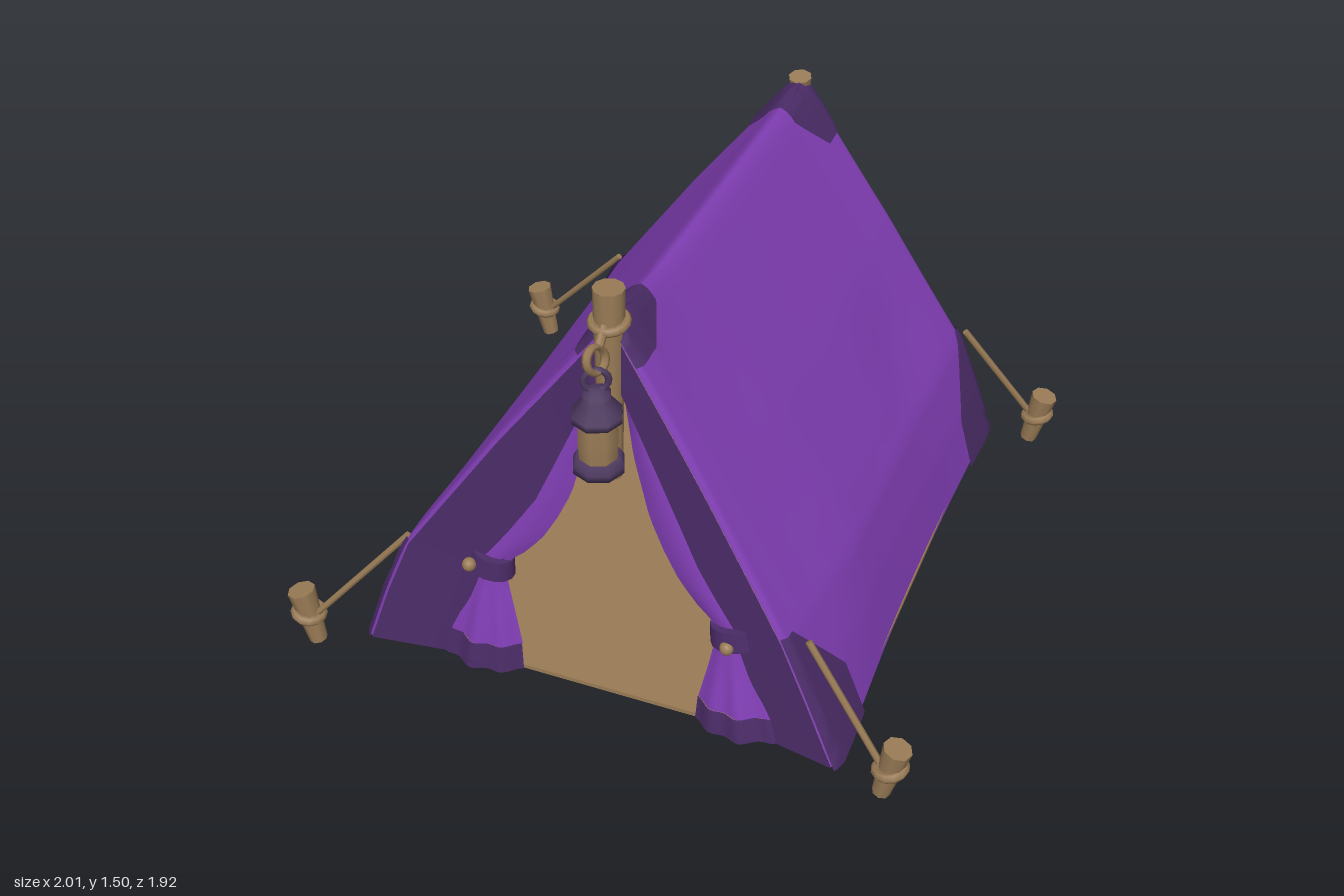
import * as THREE from 'three';

const mat = (name, color, extra = {}) => {
  const m = new THREE.MeshStandardMaterial({ color, ...extra });
  m.name = name;
  return m;
};

// Piecewise linear lookup in a list of [key, value] with rising keys
function look(table, k) {
  if (k <= table[0][0]) return table[0][1];
  for (let i = 1; i < table.length; i++) {
    const [a, va] = table[i - 1], [b, vb] = table[i];
    if (k <= b) return va + (vb - va) * (k - a) / (b - a);
  }
  return table[table.length - 1][1];
}

// Surface from a rule fn(u, v) -> [x, y, z]
function grid(nu, nv, fn) {
  const pos = [], idx = [];
  for (let j = 0; j <= nv; j++)
    for (let i = 0; i <= nu; i++) pos.push(...fn(i / nu, j / nv));
  for (let j = 0; j < nv; j++)
    for (let i = 0; i < nu; i++) {
      const a = j * (nu + 1) + i, b = a + 1, c = a + nu + 1, d = c + 1;
      idx.push(a, c, b, b, c, d);
    }
  const g = new THREE.BufferGeometry();
  g.setAttribute('position', new THREE.Float32BufferAttribute(pos, 3));
  g.setIndex(idx);
  g.computeVertexNormals();
  return g;
}

// Filled polygon, subdivided towards its centre and bent by map(a, b)
function patchGeometry(poly, map) {
  const n = poly.length;
  const ca = poly.reduce((s, p) => s + p[0], 0) / n, cb = poly.reduce((s, p) => s + p[1], 0) / n;
  return grid(n * 8, 8, (u, v) => {
    const k = Math.round(u * n * 8), i = Math.floor(k / 8), f = (k % 8) / 8;
    const p = poly[i % n], q = poly[(i + 1) % n];
    const a = p[0] + (q[0] - p[0]) * f, b = p[1] + (q[1] - p[1]) * f;
    return map(a + (ca - a) * v, b + (cb - b) * v);
  });
}

// Tent shape: t runs from hem (0) to ridge (1)
const RIDGE_X = 0.072, HEM = 0.05, ROLL = 0.018;
const RIDGE = [[-0.8, 1.335], [-0.6, 1.325], [0, 1.345], [0.45, 1.365], [0.7, 1.4], [0.8, 1.385]];
const SPREAD = [[0, 1], [0.15, 0.92], [0.3, 0.825], [0.4, 0.715], [0.64, 0.45], [0.94, 0.09], [0.98, 0.04], [1, 0]];
const ridgeY = z => look(RIDGE, z);
const endZ = (t, e = 1) => e > 0 ? 0.775 + 0.09 * (1 - t) ** 1.4 : -0.792 - 0.078 * (1 - t) ** 2;
const toT = (y, z) => (y - HEM) / (ridgeY(z) - HEM);
const toY = (t, z) => HEM + t * (ridgeY(z) - HEM);
function sideX(s, t, z) {
  const width = s < 0 ? 0.82 : 0.71;
  // hem pulled out only at the corners
  let f = look(SPREAD, t) - 0.025 * Math.max(0, 1 - t / 0.4) * Math.max(0, 1 - (z / 0.8) ** 2);
  if (s > 0) {
    // right slope: pulled in at the doorway, dented towards the back
    const front = THREE.MathUtils.smoothstep(z, 0.3, 0.85);
    f += (1 - t - f) * front * 0.6;
    f -= 0.022 * Math.exp(-(((z + 0.44) / 0.2) ** 2) - (((t - 0.43) / 0.13) ** 2));
  }
  // rounded end edges
  const d = Math.max(0, ROLL - Math.max(0, Math.abs(endZ(t, z)) - Math.abs(z)));
  const inset = ROLL - Math.sqrt(ROLL * ROLL - d * d);
  return RIDGE_X + s * Math.max(0, width * f - inset);
}

export function createModel() {
  const model = new THREE.Group();
  model.name = 'tent';
  const cloth = mat('purple cloth', 0x813eb5, { side: THREE.DoubleSide });
  const dark = mat('dark purple trim', 0x4b2c68, { side: THREE.DoubleSide });
  const metal = mat('dull purple metal', 0x4c385e);
  const wood = mat('tan wood and rope', 0x997b56);

  const add = (name, geo, material, x = 0, y = 0, z = 0, parent = model) => {
    const m = new THREE.Mesh(geo, material);
    m.name = name;
    m.position.set(x, y, z);
    parent.add(m);
    return m;
  };
  const rod = (name, a, b, rTop, rBottom, material, sides = 8) => {
    const top = new THREE.Vector3(...a), bottom = new THREE.Vector3(...b);
    const dir = top.clone().sub(bottom);
    const m = add(name, new THREE.CylinderGeometry(rTop, rBottom, dir.length(), sides), material);
    m.position.copy(top).add(bottom).multiplyScalar(0.5);
    m.quaternion.setFromUnitVectors(new THREE.Vector3(0, 1, 0), dir.normalize());
  };

  // Roof slopes with rows crowded towards the rounded ends, back wall and floor
  add('roof', grid(80, 48, (u, v) => {
    const t = 1 - Math.abs(2 * u - 1), k = Math.sin((v - 0.5) * Math.PI);
    const z = Math.abs(k) * endZ(t, k);
    return [sideX(u < 0.5 ? -1 : 1, t, z), toY(t, z), z];
  }), cloth);
  add('backWall', grid(12, 40, (u, t) => {
    const z = endZ(t, -1), l = sideX(-1, t, z), r = sideX(1, t, z);
    return [l + (r - l) * u, toY(t, z), z];
  }), cloth);
  add('floor', new THREE.BoxGeometry(1.49, 0.014, 1.68), wood, 0.02, 0.056, -0.02);

  // Reinforcing patches at the hem corners and ridge ends
  for (const e of [-1, 1]) {
    const clampZ = (za, t, gap) => e * Math.min(za, Math.abs(endZ(t, e)) + gap);
    for (const s of [-1, 1]) {
      add('cornerPatch', patchGeometry(
        [[0.615, HEM - 0.005], [0.9, HEM - 0.005], [0.9, 0.46], [0.79, 0.47], [0.62, 0.23]],
        (za, y) => {
          const t = toT(y, e * za), z = clampZ(za, t, 0.008);
          return [sideX(s, t, z) + s * 0.012, y, z];
        }), dark);
    }
    const d = e > 0 ? 0.13 : 0.17;
    add('ridgePatch', patchGeometry(
      [[0.575, -0.045], [0.69, -d], [0.9, -d], [0.9, d], [0.69, d], [0.575, 0.045]],
      (za, drop) => {
        const s = Math.sign(drop), yr = ridgeY(e * za), t = toT(yr - Math.abs(drop), e * za);
        const z = clampZ(za, t, 0.008);
        return [sideX(s, t, z) + s * 0.008, toY(t, z) + 0.008, z];
      }), dark);
  }
  // Patch parts folded onto the back wall
  for (const s of [-1, 1])
    add('backCornerPatch', grid(4, 8, (u, v) => {
      const t = v * 0.31, z = endZ(t, -1) - 0.008;
      return [sideX(s, t, z) + s * (0.012 - u * look([[0, 0.2], [0.2, 0.16], [0.31, 0.05]], t)), toY(t, z) - 0.005, z];
    }), dark);
  add('backRidgePatch', grid(6, 6, (u, v) => {
    const t = 0.88 + v * 0.12, z = endZ(t, -1) - 0.008, l = sideX(-1, t, z) - 0.008, r = sideX(1, t, z) + 0.008;
    return [l + (r - l) * u, toY(t, z) + 0.008, z];
  }), dark);

  // Doorway: trim strips and tied curtains
  const OUTER = [[0.06, 0.54], [0.15, 0.52], [0.39, 0.44], [0.47, 0.44], [0.55, 0.39], [0.74, 0.28], [0.95, 0.18], [1.25, 0.05]];
  const INNER = [[0.06, 0.28], [0.15, 0.285], [0.39, 0.33], [0.46, 0.32], [0.5, 0.275], [0.57, 0.215], [0.66, 0.165], [0.76, 0.12], [0.95, 0.07], [1.25, 0.025]];
  for (const s of [-1, 1]) {
    const lift = s < 0 ? 0 : -0.03;
    add('doorTrim', grid(6, 40, (u, t) => {
      const z = endZ(t), o = sideX(s, t, z) + s * 0.003;
      const i = 0.055 + s * Math.min(Math.max(0.03, 0.52 * (1 - t / 0.9)), Math.abs(o - 0.055));
      return [o + (i - o) * u, toY(t, z), z + 0.005 - 0.035 * u * (1 - t)];
    }), dark);
    const curtain = (y0, y1, grow) => grid(20, 28, (u, v) => {
      const y = y0 + (y1 - y0) * v, o = look(OUTER, y), i = look(INNER, y);
      const low = 1 - THREE.MathUtils.smoothstep(y, 0.08, 0.45);
      const bulge = (0.018 + 0.025 * low) * Math.sin(Math.PI * u) + 0.008 * low * Math.cos(u * 16);
      const yy = y < 0.3 ? y + lift * (y - 0.06) / 0.24 : y + lift * Math.max(0, 1 - (y - 0.3) / 0.9);
      return [0.05 + s * (o + (i - o) * u), yy, endZ(toT(y, 0.8)) - 0.03 + bulge + grow];
    });
    add('curtain', curtain(1.25, 0.15, 0), cloth);
    add('curtainHem', curtain(0.155, 0.06, 0.006), dark);
    const tie = add('curtainTie', new THREE.CylinderGeometry(0.066, 0.074, 0.07, 14), dark, 0.05 + s * 0.382, 0.435 + lift, 0.79);
    tie.scale.z = 0.75;
    tie.rotation.z = s * 0.15;
    add('tieButton', new THREE.SphereGeometry(0.022, 10, 8), wood, s < 0 ? -0.385 : 0.43, s < 0 ? 0.44 : 0.385, 0.84);
  }

  // Poles
  rod('frontPole', [0.06, 1.495, 0.765], [0.055, 0.87, 0.775], 0.045, 0.034, wood, 10);
  rod('backPole', [0.07, 1.345, -0.772], [0.07, 1.14, -0.805], 0.038, 0.012, wood, 8);

  // Pegs with guy ropes: [peg x, peg z, knot x, knot z]
  for (const [px, pz, kx, kz] of [[-0.935, 0.895, -0.6, 0.81], [0.94, 0.86, 0.665, 0.81],
    [-0.945, -0.885, -0.6, -0.81], [0.94, -0.91, 0.68, -0.81]]) {
    const s = Math.sign(px);
    rod('peg', [px + s * 0.018, 0.195, pz], [px - s * 0.022, 0.005, pz], 0.044, 0.028, wood, 8);
    const knot = add('pegKnot', new THREE.TorusGeometry(0.042, 0.016, 6, 12), wood, px, 0.11, pz);
    knot.rotation.set(Math.PI / 2, s * 0.2, 0);
    rod('guyRope', [kx, 0.465, kz], [px - s * 0.03, 0.115, pz], 0.011, 0.011, wood, 6);
  }

  // Rope ring and hook holding the lantern
  const ring = (name, r, tube, material, y, z, rx, ry) => {
    const m = add(name, new THREE.TorusGeometry(r, tube, 6, 16), material, 0.06, y, z);
    m.rotation.set(rx, ry, 0);
    return m;
  };
  ring('poleRope', 0.047, 0.014, wood, 1.39, 0.768, Math.PI / 2 + 0.15, 0);
  const hook = ring('hookRing', 0.048, 0.013, wood, 1.325, 0.862, -0.75, Math.PI / 2 - 0.2);
  hook.scale.y = 0.75;
  rod('hookRope', [0.06, 1.395, 0.8], [0.06, 1.355, 0.84], 0.014, 0.014, wood, 6);
  ring('lanternHandle', 0.034, 0.01, metal, 1.26, 0.865, 0, 0.5);

  // Lantern
  const lantern = new THREE.Group();
  lantern.name = 'lantern';
  lantern.position.set(0.06, 0, 0.865);
  model.add(lantern);
  const turned = (name, pts, material) =>
    add(name, new THREE.LatheGeometry(pts.map(p => new THREE.Vector2(...p)), 8), material, 0, 0, 0, lantern);
  turned('lanternBase', [[0, 0.965], [0.076, 0.965], [0.076, 0.985], [0.064, 1.008], [0, 1.008]], metal);
  turned('lanternGlass', [[0.056, 1.0], [0.06, 1.07], [0.056, 1.145]], wood);
  turned('lanternCap', [[0, 1.135], [0.074, 1.135], [0.074, 1.155], [0.04, 1.2], [0.042, 1.22], [0.02, 1.235], [0, 1.237]], metal);

  return model;
}
